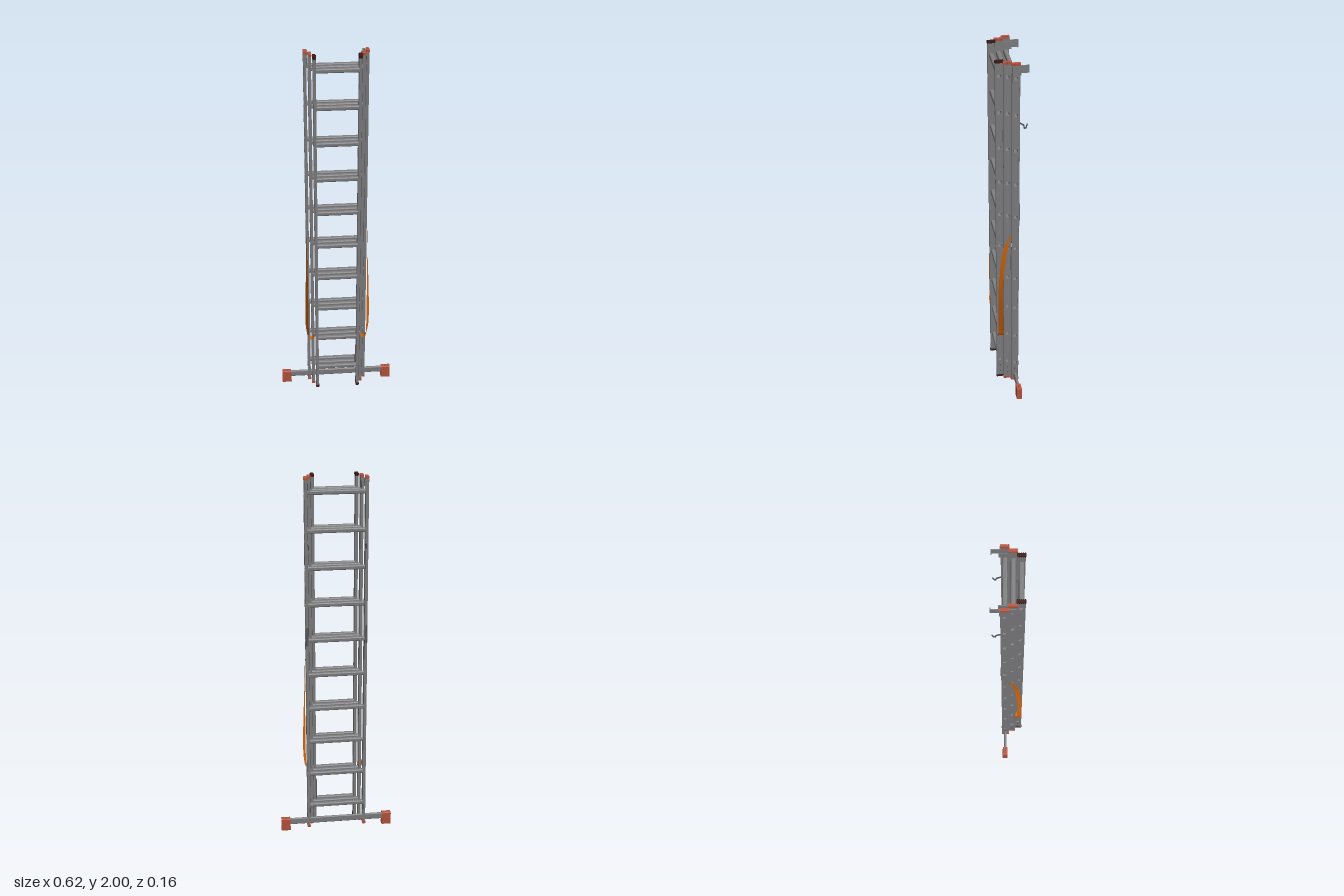
import * as THREE from 'three';

const mat = (name, color, side = THREE.FrontSide) => {
  const m = new THREE.MeshStandardMaterial({ color, side });
  m.name = name;
  return m;
};

export function createModel() {
  const metal = mat('aluminium', 0x808082, THREE.DoubleSide);
  const steel = mat('dark steel', 0x5a5a5d);
  const red = mat('red plastic', 0xb9553f);
  const dark = mat('dark plastic', 0x3a1a16);
  const orange = mat('orange strap', 0xd0650f, THREE.DoubleSide);
  const model = new THREE.Group();
  model.name = 'ladder';

  const add = (parent, name, geo, material, x = 0, y = 0, z = 0) => {
    const mesh = new THREE.Mesh(geo, material);
    mesh.name = name;
    mesh.position.set(x, y, z);
    parent.add(mesh);
    return mesh;
  };
  const box = (parent, name, w, h, d, material, x, y, z) =>
    add(parent, name, new THREE.BoxGeometry(w, h, d), material, x, y, z);

  // rounded rectangle outline, centred on (cx, cy)
  const rounded = (Type, w, h, r, cx = 0, cy = 0) => {
    const s = new Type(), a = w / 2 - r, b = h / 2 - r;
    s.absarc(cx + a, cy + b, r, 0, Math.PI / 2);
    s.absarc(cx - a, cy + b, r, Math.PI / 2, Math.PI);
    s.absarc(cx - a, cy - b, r, Math.PI, Math.PI * 1.5);
    s.absarc(cx + a, cy - b, r, Math.PI * 1.5, Math.PI * 2);
    s.closePath();
    return s;
  };
  // extrude a z/y outline along x, centred on x = 0
  const alongX = (shape, length) => {
    const g = new THREE.ExtrudeGeometry(shape, { depth: length, bevelEnabled: false, curveSegments: 4 });
    return g.translate(0, 0, -length / 2).rotateY(Math.PI / 2);
  };

  const rungY = Array.from({ length: 10 }, (_, i) => 0.145 + i * 0.1973);
  const railBottom = 0.025, railTop = 1.99, railMid = (railBottom + railTop) / 2;
  const railW = 0.013, railD = 0.039;

  // rail with a hole for every hollow rung
  const railShape = rounded(THREE.Shape, railD, railTop - railBottom, 0.003);
  for (const y of rungY) railShape.holes.push(rounded(THREE.Path, 0.02, 0.02, 0.005, 0, y - railMid));
  const railGeo = alongX(railShape, railW);

  const sections = [
    { name: 'back', x: 0.155, z: -0.0145, cap: red },
    { name: 'middle', x: 0.134, z: 0.0235, cap: red },
    { name: 'front', x: 0.113, z: 0.061, cap: dark },
  ];
  for (const { name, x, z, cap } of sections) {
    const section = new THREE.Group();
    section.name = name + 'Section';
    model.add(section);

    // open tube rungs
    const tube = rounded(THREE.Shape, 0.022, 0.022, 0.006);
    tube.holes.push(rounded(THREE.Path, 0.018, 0.018, 0.004));
    const rungGeo = alongX(tube, 2 * x + railW + 0.003);
    for (const y of rungY) add(section, 'rung', rungGeo, metal, 0, y, z);

    for (const s of [-1, 1]) {
      add(section, 'rail', railGeo, metal, s * x, railMid, z);
      // raised edges of the rail profile
      for (const e of [-1, 1])
        box(section, 'railEdge', railW + 0.002, railTop - railBottom, 0.005, metal, s * x, railMid, z + e * 0.017);
      // ribbed end caps
      for (const [y, h] of [[1.993, 0.013], [0.022, 0.014]]) {
        box(section, 'endCap', 0.014, h, 0.043, cap, s * x, y, z);
        for (let i = -2; i <= 2; i++)
          box(section, 'capRib', 0.018, h - 0.002, 0.004, cap, s * x, y, z + i * 0.0085);
      }
      // screws near the foot of the rail
      for (const y of [0.06, 0.1]) {
        const screw = add(section, 'screw', new THREE.CylinderGeometry(0.004, 0.004, 0.003, 8), steel,
          s * (x + 0.008), y, z);
        screw.rotation.z = Math.PI / 2;
      }
    }
  }

  // stabiliser bar with rubber feet
  const stabiliser = new THREE.Group();
  stabiliser.name = 'stabiliser';
  model.add(stabiliser);
  add(stabiliser, 'crossBar', alongX(rounded(THREE.Shape, 0.014, 0.036, 0.005), 0.56), metal, 0, 0.049, -0.0155);
  for (const s of [-1, 1]) {
    add(stabiliser, 'foot', alongX(rounded(THREE.Shape, 0.029, 0.058, 0.004), 0.05), red, s * 0.285, 0.042, -0.0155);
    box(stabiliser, 'footSole', 0.052, 0.016, 0.03, red, s * 0.284, 0.008, -0.0155);
    const bolt = add(stabiliser, 'footBolt', new THREE.CylinderGeometry(0.004, 0.004, 0.003, 8), steel,
      s * 0.283, 0.0715, -0.0155);
    bolt.scale.y = 0.6;
  }

  // guide brackets, hooks and latches on both sides
  const hookShape = new THREE.Shape([
    [0, 0.025], [0.02, 0.01], [0.022, -0.006], [0.034, -0.006], [0.042, 0.02],
    [0.036, 0.02], [0.031, 0.002], [0.026, 0.002], [0.024, 0.016], [0, 0.034],
  ].map(p => new THREE.Vector2(...p)));
  const hookGeo = alongX(hookShape, 0.004);
  for (const s of [-1, 1]) {
    const fittings = new THREE.Group();
    fittings.name = 'fittings';
    model.add(fittings);
    box(fittings, 'guidePlate', 0.004, 0.04, 0.048, metal, s * 0.146, 1.96, -0.056);
    box(fittings, 'guideLip', 0.01, 0.04, 0.004, metal, s * 0.143, 1.96, -0.078);
    box(fittings, 'guideMount', 0.016, 0.05, 0.006, metal, s * 0.154, 1.96, -0.036);
    add(fittings, 'hook', hookGeo, steel, s * 0.147, 1.645, -0.034);
    box(fittings, 'middleGuide', 0.004, 0.04, 0.042, metal, s * 0.127, 1.96, -0.022);
    box(fittings, 'frontGuide', 0.004, 0.04, 0.034, metal, s * 0.147, 1.96, 0.022);
    box(fittings, 'stopPlate', 0.012, 0.1, 0.003, steel, s * 0.155, 1.16, -0.0355);
    box(fittings, 'footLatch', 0.005, 0.03, 0.006, steel, s * 0.15, 0.125, -0.036);
  }
  box(model, 'lockLever', 0.005, 0.12, 0.01, steel, 0.104, 0.21, 0.045);

  // slack webbing straps: x, y, z, half width, twist
  const strapPath = [
    [0.163, 1.02, 0.008, 0.004, 0], [0.163, 0.97, 0.03, 0.008, 0], [0.163, 0.9, 0.045, 0.012, 0.1],
    [0.164, 0.8, 0.056, 0.012, 0.3], [0.166, 0.65, 0.065, 0.013, 0.5], [0.168, 0.5, 0.065, 0.014, 0.6],
    [0.166, 0.41, 0.064, 0.015, 0.5], [0.158, 0.355, 0.063, 0.016, 0.2], [0.142, 0.342, 0.061, 0.016, 0],
    [0.126, 0.36, 0.058, 0.011, 0],
  ];
  const centre = new THREE.CatmullRomCurve3(strapPath.map(p => new THREE.Vector3(p[0], p[1], p[2])));
  const shape = new THREE.CatmullRomCurve3(strapPath.map(p => new THREE.Vector3(p[3], p[4], 0)));
  for (const s of [-1, 1]) {
    const pos = [], index = [], n = 45;
    for (let i = 0; i <= n; i++) {
      const c = centre.getPoint(i / n), w = shape.getPoint(i / n);
      const dx = -Math.sin(w.y) * w.x, dz = Math.cos(w.y) * w.x;
      pos.push(s * (c.x - dx), c.y, c.z - dz, s * (c.x + dx), c.y, c.z + dz);
      const a = 2 * i;
      if (i < n) index.push(...(s > 0 ? [a, a + 1, a + 2, a + 1, a + 3, a + 2] : [a, a + 2, a + 1, a + 1, a + 2, a + 3]));
    }
    const geo = new THREE.BufferGeometry();
    geo.setAttribute('position', new THREE.Float32BufferAttribute(pos, 3));
    geo.setIndex(index);
    geo.computeVertexNormals();
    add(model, 'strap', geo, orange);
  }
  return model;
}
